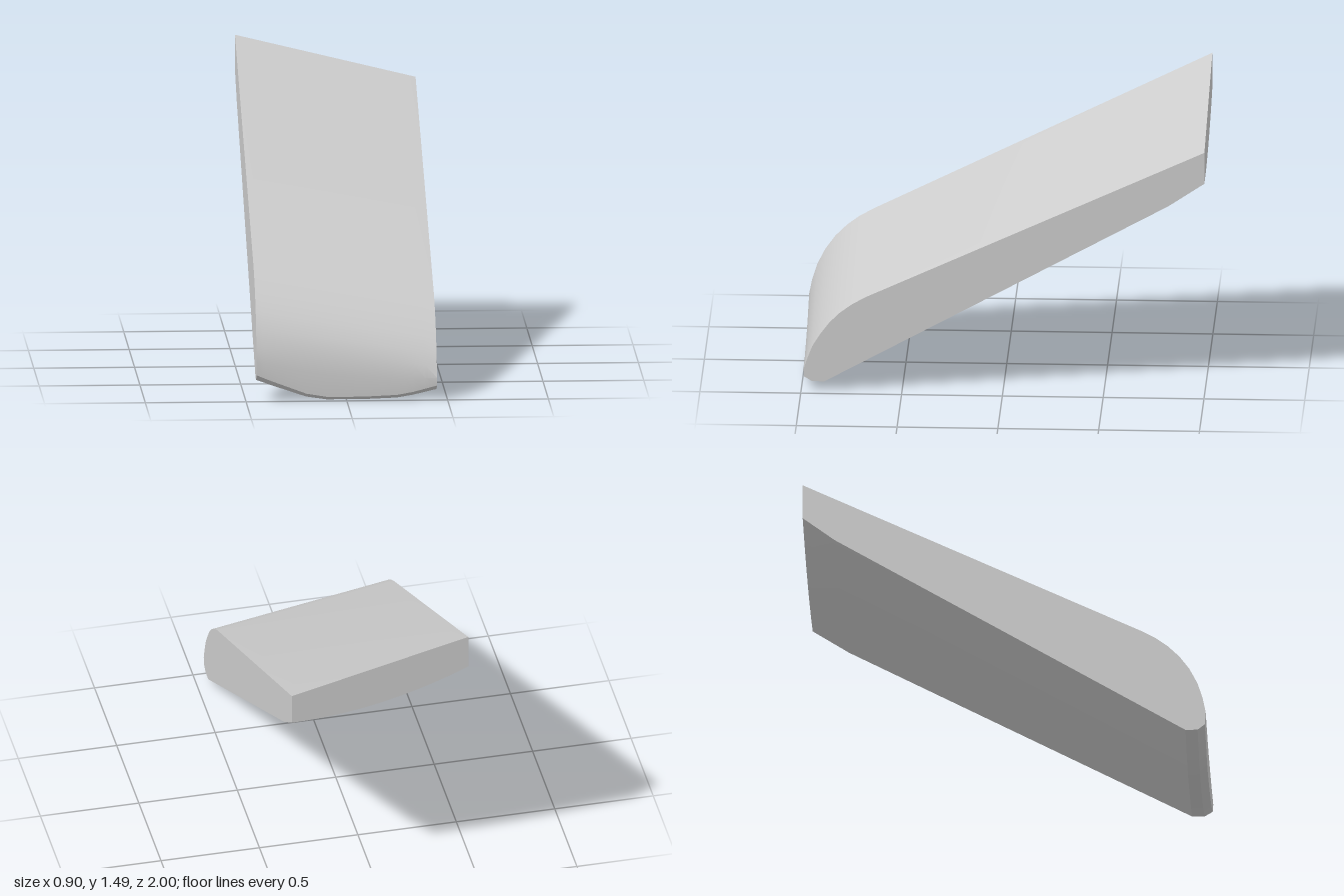
import * as THREE from 'three';
import { toCreasedNormals } from 'three/addons/utils/BufferGeometryUtils.js';

const HALF = 0.448; // half width

// Side outlines as [z, y], from the back top edge round the nose to the back bottom edge
const RIGHT_SIDE = [
  [-1, 1.49], [0.68, 0.65], [0.75, 0.61], [0.81, 0.565], [0.87, 0.505], [0.92, 0.435],
  [0.96, 0.355], [0.985, 0.275], [1, 0.2], [0.996, 0.132], [0.96, 0.103], [0.9, 0.103],
  [-0.84, 1.185], [-1, 1.31],
];
const LEFT_SIDE = [
  [-1, 1.27], [0.68, 0.49], [0.75, 0.45], [0.81, 0.405], [0.86, 0.355], [0.905, 0.295],
  [0.945, 0.23], [0.97, 0.165], [0.988, 0.11], [0.985, 0.07], [0.945, 0.046], [0.885, 0.046],
  [-0.82, 0.987], [-1, 1.108],
];

// How far the underside hangs below the straight line between the sides, at the nose: [x, drop]
const NOSE_SAG = [
  [-HALF, 0], [-0.38, 0.021], [-0.2, 0.071], [-0.1, 0.08], [0, 0.075],
  [0.1, 0.068], [0.25, 0.053], [0.33, 0.035], [HALF, 0],
];

function noseSag(x) {
  for (let i = 1; i < NOSE_SAG.length; i++) {
    const [x0, s0] = NOSE_SAG[i - 1], [x1, s1] = NOSE_SAG[i];
    if (x <= x1) return THREE.MathUtils.mapLinear(x, x0, x1, s0, s1);
  }
  return 0;
}

// Cross-section of the body at x: blend of both sides plus the bellied underside
function section(x) {
  const t = (x + HALF) / (2 * HALF);
  const arch = 1 - (x / HALF) ** 2;
  const nose = noseSag(x);
  const drop = { 8: nose * 0.4, 9: nose * 1.1, 10: nose, 11: nose, 12: 0.037 * arch, 13: 0.05 * arch };
  return RIGHT_SIDE.map(([z, y], j) => [
    THREE.MathUtils.lerp(z, LEFT_SIDE[j][0], t),
    Math.max(0, THREE.MathUtils.lerp(y, LEFT_SIDE[j][1], t) - (drop[j] || 0)),
  ]);
}

function bodyGeometry() {
  const xs = [...NOSE_SAG.map((p) => p[0]), -0.415, -0.32, -0.26, -0.15, 0.05, 0.18, 0.29, 0.39]
    .sort((a, b) => a - b);
  const n = RIGHT_SIDE.length;
  const last = (xs.length - 1) * n;
  const positions = [];
  const index = [];
  for (const x of xs) for (const [z, y] of section(x)) positions.push(x, y, z);

  // Skin between neighbouring sections, including the flat back face
  for (let i = 0; i < xs.length - 1; i++) {
    for (let j = 0; j < n; j++) {
      const k = (j + 1) % n;
      const a = i * n + j, d = i * n + k, b = a + n, c = d + n;
      index.push(a, d, c, a, c, b);
    }
  }
  // Flat sides
  for (let j = 1; j < n - 1; j++) {
    index.push(0, j + 1, j);
    index.push(last, last + j, last + j + 1);
  }

  const geometry = new THREE.BufferGeometry();
  geometry.setAttribute('position', new THREE.Float32BufferAttribute(positions, 3));
  geometry.setIndex(index);
  return toCreasedNormals(geometry, 0.35);
}

export function createModel() {
  const group = new THREE.Group();
  group.name = 'slopedKey';
  const body = new THREE.Mesh(bodyGeometry(), new THREE.MeshStandardMaterial({ color: 0xcccccc }));
  body.name = 'body';
  group.add(body);
  return group;
}
